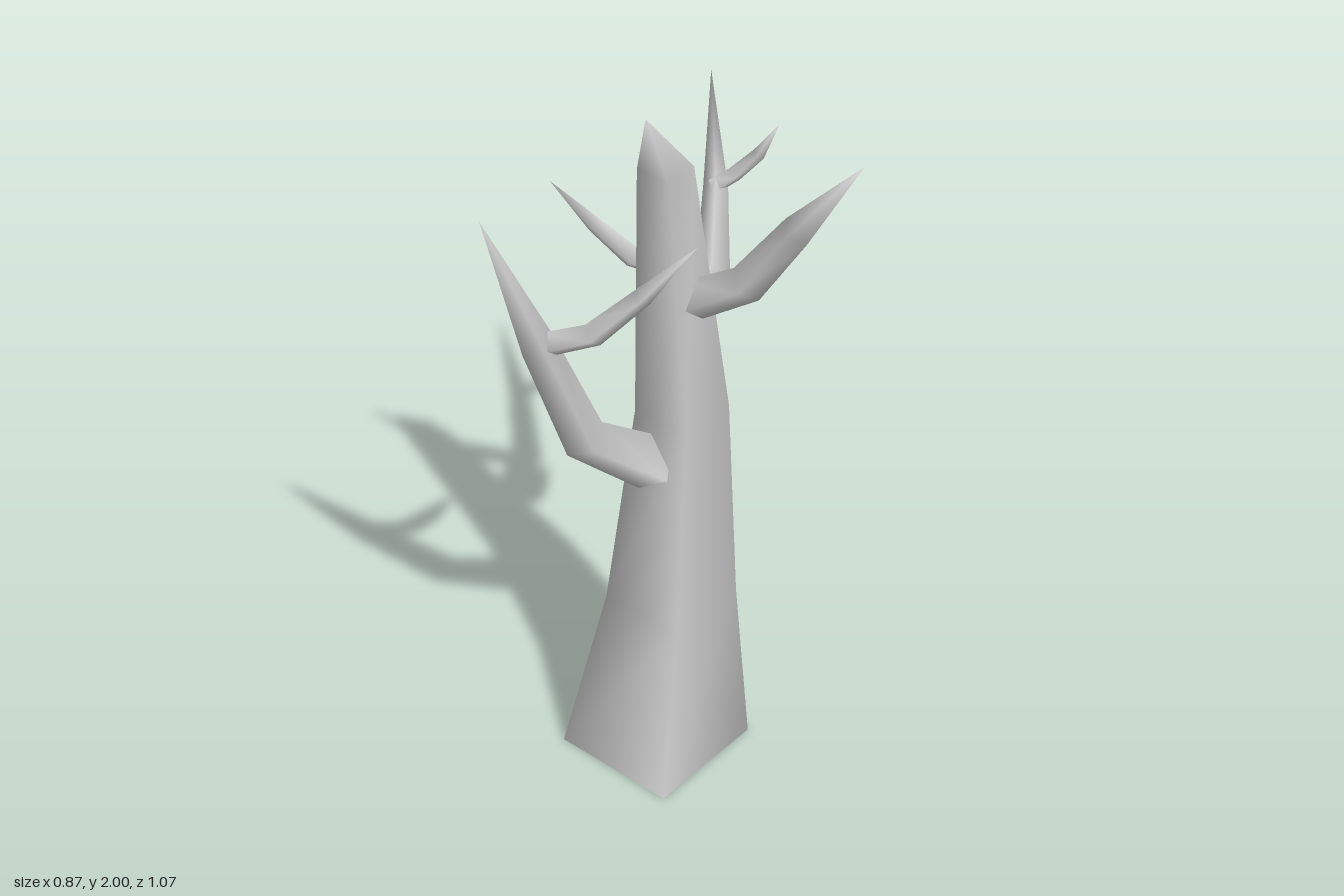
import * as THREE from 'three';

const SIDES = 4;

// Tapered four-sided limb through rings [x, y, z, radius]; the last ring is the pointed tip.
function limb(name, rings, ref = new THREE.Vector3(0, 1, 0)) {
  const pts = rings.map(([x, y, z]) => new THREE.Vector3(x, y, z));
  const last = rings.length - 1;
  const pos = [], index = [];
  for (let i = 0; i < last; i++) {
    const t = pts[i + 1].clone().sub(pts[i]).normalize();
    if (i > 0) t.add(pts[i].clone().sub(pts[i - 1]).normalize()).normalize();
    if (name === 'trunk') t.set(0, 1, 0); // trunk rings stay level
    const side = new THREE.Vector3().crossVectors(ref, t).normalize();
    const up = new THREE.Vector3().crossVectors(t, side);
    for (let k = 0; k < SIDES; k++) {
      const a = (k / SIDES) * Math.PI * 2;
      const p = pts[i].clone()
        .addScaledVector(side, Math.cos(a) * rings[i][3])
        .addScaledVector(up, Math.sin(a) * rings[i][3]);
      pos.push(p.x, p.y, p.z);
    }
  }
  pos.push(...pts[last].toArray());
  for (let i = 0; i < last; i++) {
    for (let k = 0; k < SIDES; k++) {
      const a = i * SIDES + k, b = i * SIDES + (k + 1) % SIDES;
      if (i === last - 1) index.push(a, b, last * SIDES);
      else index.push(a, b, b + SIDES, a, b + SIDES, a + SIDES);
    }
  }
  // Flat cap on the thick end, with its own vertices so its edge stays sharp
  const cap = pos.length / 3;
  pos.push(...pos.slice(0, SIDES * 3));
  index.push(cap, cap + 2, cap + 1, cap, cap + 3, cap + 2);

  const geo = new THREE.BufferGeometry();
  geo.setAttribute('position', new THREE.Float32BufferAttribute(pos, 3));
  geo.setIndex(index);
  geo.computeVertexNormals();
  const mesh = new THREE.Mesh(geo, new THREE.MeshStandardMaterial({ color: 0xcccccc }));
  mesh.name = name;
  return mesh;
}

export function createModel() {
  const tree = new THREE.Group();
  tree.name = 'bareTree';

  // Trunk: flared foot, slight bend, off-centre broken point
  tree.add(limb('trunk', [
    [-0.01, 0, 0.2, 0.25],
    [0.03, 0.5, 0.2, 0.17],
    [0.055, 1.1, 0.2, 0.118],
    [0.012, 1.81, 0.198, 0.068],
    [-0.035, 1.945, 0.198, 0],
  ], new THREE.Vector3(0, 0, 1)));

  // Low branch on the right, with its twig
  tree.add(limb('rightBranch', [
    [-0.015, 0.96, 0.24, 0.08],
    [-0.195, 1.09, 0.295, 0.06],
    [-0.305, 1.42, 0.355, 0.045],
    [-0.435, 1.81, 0.397, 0],
  ]));
  tree.add(limb('rightTwig', [
    [-0.29, 1.42, 0.35, 0.035],
    [-0.175, 1.46, 0.375, 0.033],
    [-0.06, 1.59, 0.415, 0.025],
    [0.065, 1.75, 0.455, 0],
  ]));

  // High branch on the front left
  tree.add(limb('leftBranch', [
    [0.075, 1.44, 0.22, 0.055],
    [0.2, 1.525, 0.285, 0.05],
    [0.305, 1.73, 0.375, 0.04],
    [0.435, 2.0, 0.53, 0],
  ]));

  // Long back branch with two twigs
  tree.add(limb('backBranch', [
    [0.075, 1.31, 0.13, 0.055],
    [0.15, 1.345, -0.03, 0.045],
    [0.178, 1.455, -0.26, 0.032],
    [0.19, 1.64, -0.535, 0],
  ]));
  tree.add(limb('backOuterTwig', [
    [0.17, 1.46, -0.255, 0.024],
    [0.225, 1.49, -0.262, 0.022],
    [0.285, 1.56, -0.242, 0.017],
    [0.33, 1.675, -0.195, 0],
  ]));
  tree.add(limb('backInnerTwig', [
    [0.1, 1.35, -0.022, 0.034],
    [-0.05, 1.39, -0.055, 0.032],
    [-0.14, 1.47, -0.083, 0.024],
    [-0.25, 1.58, -0.125, 0],
  ]));

  return tree;
}
